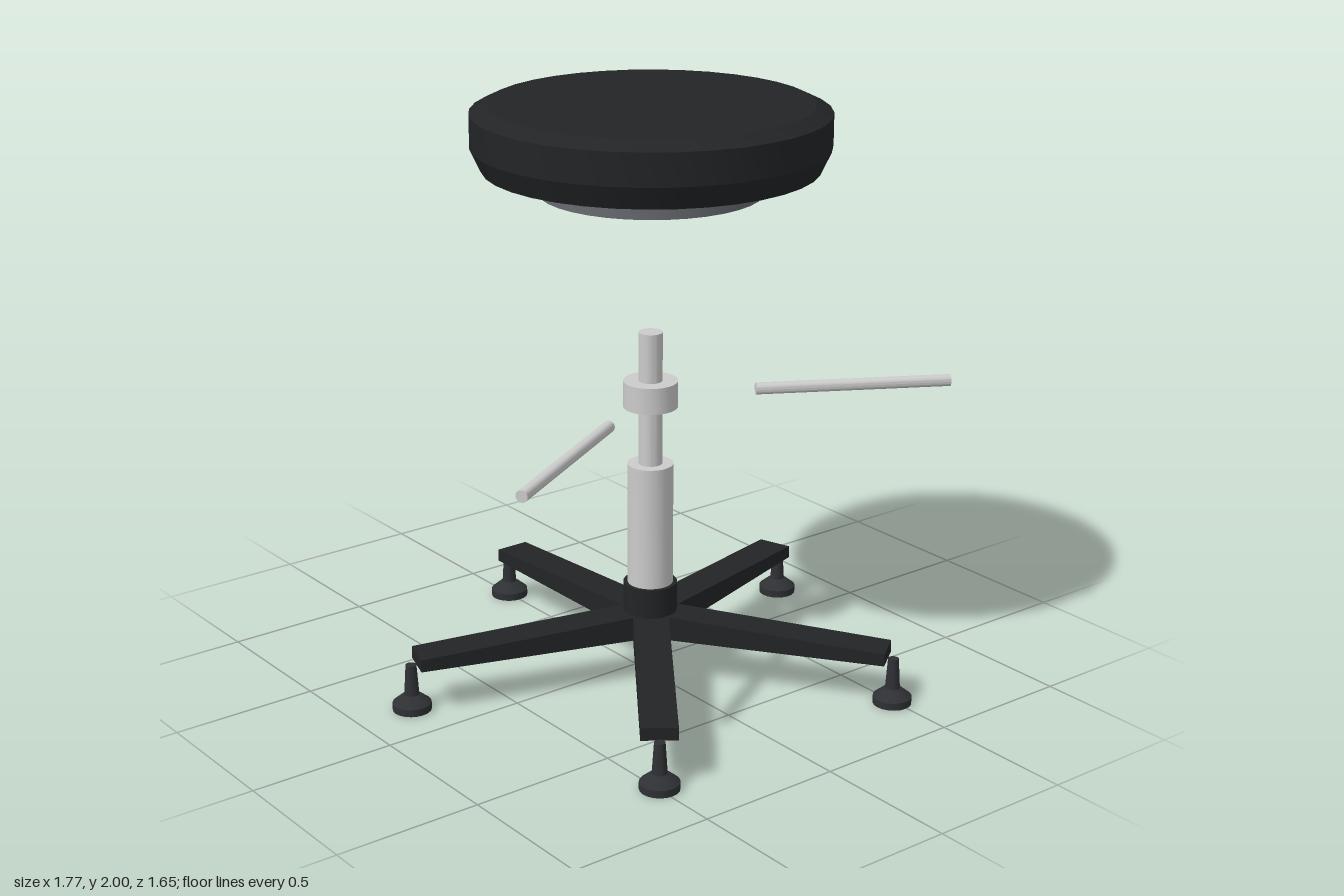
import * as THREE from 'three';
import { toCreasedNormals } from 'three/addons/utils/BufferGeometryUtils.js';

const mat = (color) => new THREE.MeshStandardMaterial({ color });

// Solid of revolution from [radius, height] pairs, bottom to top
function turned(name, profile, sides, material) {
  const points = profile.map(([r, y]) => new THREE.Vector2(r, y));
  const geometry = toCreasedNormals(new THREE.LatheGeometry(points, sides), 0.42);
  const mesh = new THREE.Mesh(geometry, material);
  mesh.name = name;
  return mesh;
}

const rod = (name, r, y0, y1, sides, material) =>
  turned(name, [[0, y0], [r, y0], [r, y1], [0, y1]], sides, material);

export function createModel() {
  const metal = mat(0xcccccc);
  const black = mat(0x222426);
  const rubber = mat(0x2e3034);
  const plate = mat(0x66696e);

  const stool = new THREE.Group();
  stool.name = 'stool';
  stool.position.z = 0.08;

  // Padded seat with a slight crown, and the mounting disc below it
  stool.add(turned('seatCushion', [
    [0, 1.775], [0.545, 1.775], [0.58, 1.85], [0.58, 1.957],
    [0.525, 1.984], [0.1, 2], [0, 2],
  ], 36, black));
  stool.add(rod('seatMount', 0.365, 1.695, 1.775, 36, plate));

  // Central column
  stool.add(rod('hub', 0.091, 0.22, 0.34, 32, black));
  stool.add(rod('columnSleeve', 0.077, 0.3, 0.765, 32, metal));
  stool.add(rod('columnRod', 0.04, 0.7, 1.222, 24, metal));
  stool.add(rod('collar', 0.091, 0.965, 1.055, 32, metal));

  // Two levers, mirrored left and right
  for (const angle of [-Math.PI / 6, -Math.PI * 5 / 6]) {
    const holder = new THREE.Group();
    holder.name = 'leverHolder';
    const lever = rod('lever', 0.02, -1.013, -0.352, 16, metal);
    lever.rotation.z = Math.PI / 2;
    lever.position.y = 1.01;
    holder.add(lever);
    holder.rotation.y = angle;
    stool.add(holder);
  }

  // Tapered leg, flat below and sloping down outwards
  const side = new THREE.Shape([
    [0, 0.155], [0.82, 0.155], [0.82, 0.198], [0, 0.243],
  ].map(([x, y]) => new THREE.Vector2(x, y)));
  const legGeometry = new THREE.ExtrudeGeometry(side, { depth: 0.12, bevelEnabled: false });
  legGeometry.translate(0, 0, -0.06);

  // Five legs, each with a glide foot
  for (let i = 0; i < 5; i++) {
    const unit = new THREE.Group();
    unit.name = 'legWithFoot';
    const leg = new THREE.Mesh(legGeometry, black);
    leg.name = 'leg';
    const foot = turned('foot', [
      [0, 0], [0.065, 0], [0.065, 0.025], [0.032, 0.052],
      [0.025, 0.055], [0.018, 0.16], [0, 0.16],
    ], 20, rubber);
    foot.position.x = 0.84;
    unit.add(leg, foot);
    unit.rotation.y = Math.PI / 2 + i * Math.PI * 2 / 5;
    stool.add(unit);
  }

  const model = new THREE.Group();
  model.name = 'model';
  model.add(stool);
  return model;
}
